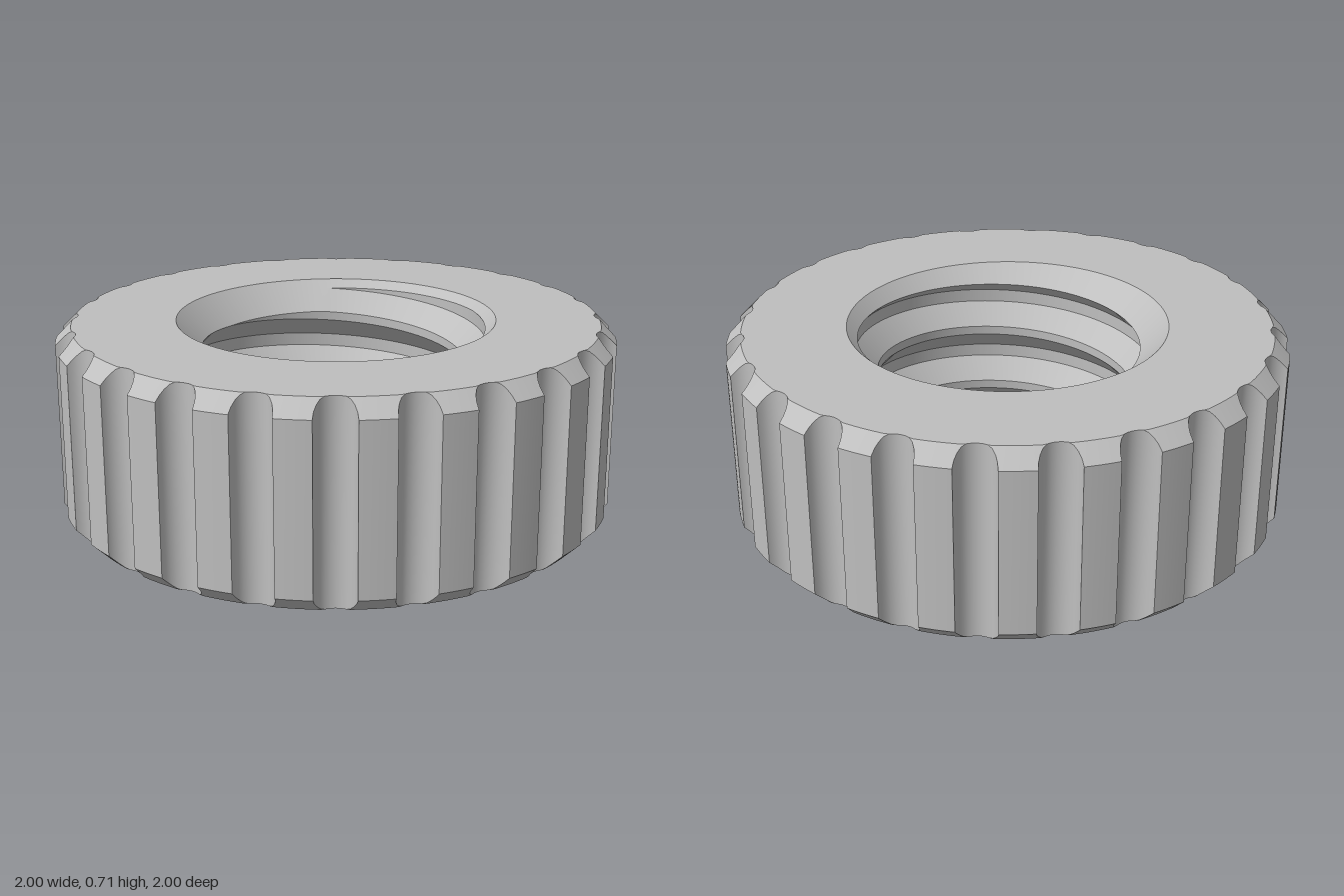
import * as THREE from 'three';
import { toCreasedNormals } from 'three/addons/utils/BufferGeometryUtils.js';

const H = 0.71;                                   // height
const R = 1.0025, CHAMFER = 0.057;                // outer radius and edge chamfer
const GROOVES = 24, GROOVE_R = 0.07;              // grip flutes
const MOUTH = 0.575, CREST = 0.47, ROOT = 0.545;  // bore radii
const PITCH = 0.235, FLANK = 0.077, FLAT = 0.048; // thread shape

// Outline as polar points [angle, radius]: a round flute, then a land
function outline() {
  const pts = [];
  const step = (Math.PI * 2) / GROOVES;
  const start = Math.acos(-GROOVE_R / R);
  const half = Math.asin(GROOVE_R / R);
  for (let g = 0; g < GROOVES; g++) {
    const mid = g * step;
    for (let i = 0; i <= 12; i++) {
      const phi = 2 * Math.PI - start - (i / 12) * 2 * (Math.PI - start);
      const x = R + GROOVE_R * Math.cos(phi), z = GROOVE_R * Math.sin(phi);
      pts.push([mid + Math.atan2(z, x), Math.hypot(x, z)]);
    }
    for (let i = 0; i <= 5; i++) pts.push([mid + half + (i / 5) * (step - 2 * half), R]);
  }
  pts.push([pts[0][0] + Math.PI * 2, pts[0][1]]);
  return pts;
}

// Outer wall section: chamfers only reach as deep as the flute allows
function rimSection(angle, r) {
  const cap = Math.min(r, R - CHAMFER);
  const y = Math.max(0, CHAMFER - (R - r));
  return [[cap, 0], [r, y], [r, H - y], [cap, H]];
}

// Right-handed helix: height of the lower crest edge, and radius at a height
const helixY = (angle) => 0.685 - (PITCH * (angle - Math.PI / 2)) / (Math.PI * 2);
function threadRadius(y, angle) {
  let u = (helixY(angle) - y) % PITCH;
  if (u < 0) u += PITCH;
  const t = Math.min(u / FLANK, (2 * FLANK + FLAT - u) / FLANK);
  return CREST + (ROOT - CREST) * THREE.MathUtils.clamp(t, 0, 1);
}

// Depth below a face at which its lead-in cone meets the thread
function coneDepth(radiusAtDepth) {
  let lo = 0, hi = MOUTH - CREST;
  for (let i = 0; i < 40; i++) {
    const m = (lo + hi) / 2;
    if (MOUTH - m > radiusAtDepth(m)) lo = m;
    else hi = m;
  }
  return lo;
}

// Bore section, top to bottom: cone, thread breakpoints, cone
function boreSection(angle) {
  const top = H - coneDepth((d) => threadRadius(H - d, angle));
  const bottom = coneDepth((d) => threadRadius(d, angle));
  const pts = [[MOUTH, H]];
  const add = (y) => pts.push([threadRadius(y, angle), y]);
  add(top);
  for (let n = -2; n <= 4; n++) {
    for (const o of [0, FLANK, FLANK + FLAT, 2 * FLANK + FLAT]) {
      add(THREE.MathUtils.clamp(helixY(angle) - n * PITCH - o, bottom, top));
    }
  }
  add(bottom);
  pts.push([MOUTH, 0]);
  return pts;
}

// Sweep a section of [radius, y] points around the axis
function sweep(rim, section) {
  const rows = rim.map(([angle, r]) => section(angle, r).map(([pr, y]) =>
    new THREE.Vector3(pr * Math.cos(angle), y, pr * Math.sin(angle))));
  const pos = [];
  const ab = new THREE.Vector3(), ac = new THREE.Vector3();
  const tri = (a, b, c) => {
    ab.subVectors(b, a);
    ac.subVectors(c, a);
    if (ab.cross(ac).length() < 1e-9) return; // skip collapsed corners
    for (const p of [a, b, c]) pos.push(p.x, p.y, p.z);
  };
  for (let j = 0; j < rows.length - 1; j++) {
    const p = rows[j], q = rows[j + 1];
    for (let k = 0; k < p.length - 1; k++) {
      tri(p[k], p[k + 1], q[k]);
      tri(q[k], p[k + 1], q[k + 1]);
    }
  }
  const geo = new THREE.BufferGeometry();
  geo.setAttribute('position', new THREE.Float32BufferAttribute(pos, 3));
  return toCreasedNormals(geo, THREE.MathUtils.degToRad(28));
}

export function createModel() {
  const group = new THREE.Group();
  group.name = 'knurledNut';
  const steel = new THREE.MeshStandardMaterial({ color: 0xbfbfbf });
  steel.name = 'steel grey';

  const rim = outline();
  const capR = (r) => Math.min(r, R - CHAMFER);
  const parts = {
    flutedRim: rimSection,
    topFace: (angle, r) => [[capR(r), H], [MOUTH, H]],
    threadedBore: boreSection,
    bottomFace: (angle, r) => [[MOUTH, 0], [capR(r), 0]],
  };
  for (const [name, section] of Object.entries(parts)) {
    const mesh = new THREE.Mesh(sweep(rim, section), steel);
    mesh.name = name;
    group.add(mesh);
  }
  return group;
}
